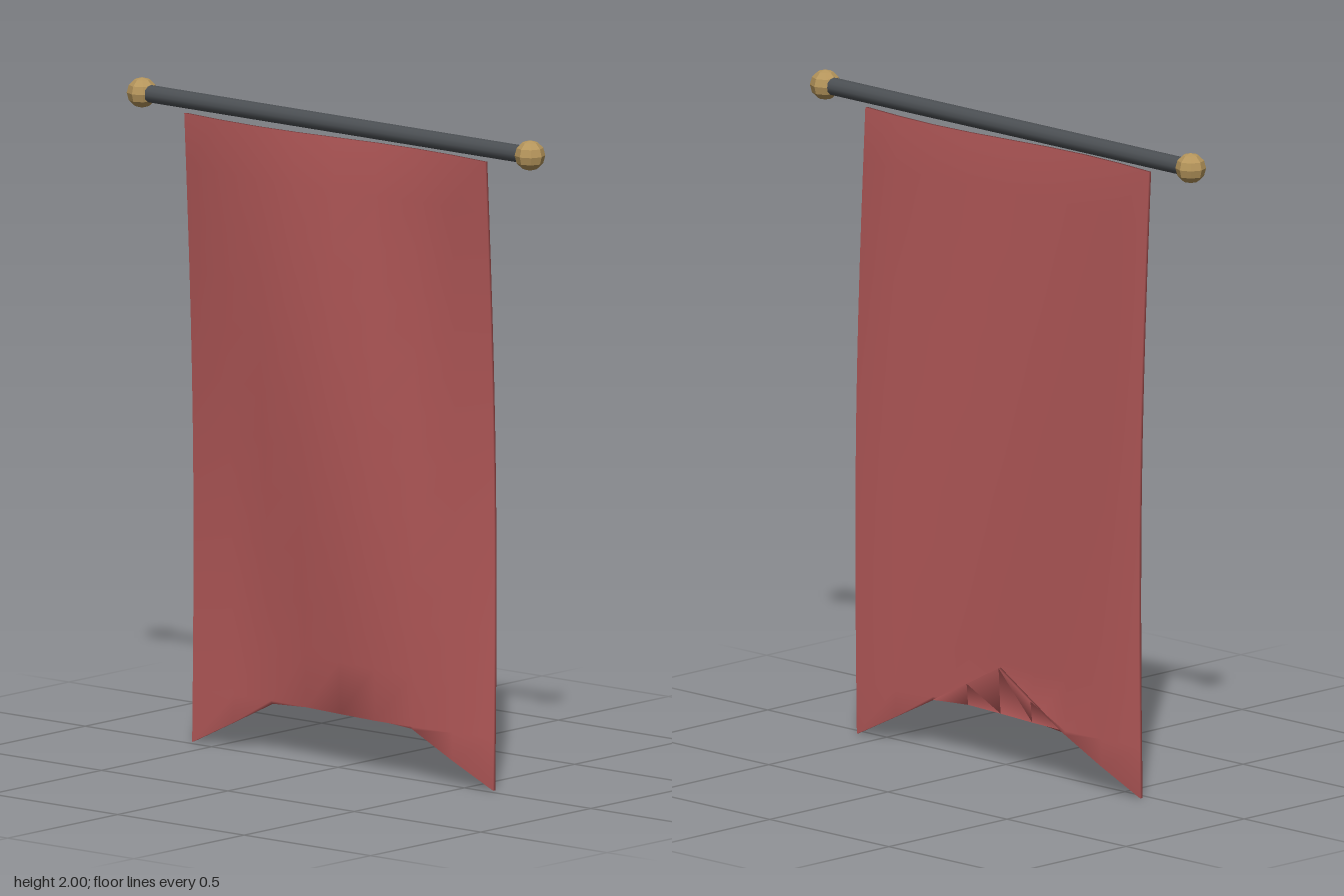
import * as THREE from 'three';
import { mergeVertices } from 'three/addons/utils/BufferGeometryUtils.js';

const WIDTH = 1.19, HEIGHT = 1.913, COLS = 8, ROWS = 12;
const ROD_Y = 1.954, ROD_Z = 0.009;

// Thin sheet with a travelling ripple; only its lowest row is lifted into a
// swallowtail, so the middle of the hem folds up behind the row above it.
function clothGeometry() {
  let geo = new THREE.BoxGeometry(WIDTH, HEIGHT, 0.01, COLS, ROWS, 1);
  geo.deleteAttribute('normal');
  geo.deleteAttribute('uv');
  geo = mergeVertices(geo);
  const p = geo.attributes.position;
  for (let i = 0; i < p.count; i++) {
    const x = p.getX(i);
    const t = 0.5 - p.getY(i) / HEIGHT; // 0 at the rod, 1 at the hem
    let y = HEIGHT * (1 - t);
    if (t > 0.999) y += 0.3 * (1 - Math.abs(x) / (WIDTH / 2));
    const ripple = 0.021 * Math.sin((2 * Math.PI * x) / WIDTH + Math.PI * (1 - t));
    p.setXYZ(i, x, y, p.getZ(i) + 0.01 - 0.036 * t + ripple);
  }
  geo.computeVertexNormals();
  return geo;
}

export function createModel() {
  const model = new THREE.Group();
  model.name = 'hangingBanner';
  const add = (name, geo, mat, x = 0, y = 0, z = 0) => {
    const mesh = new THREE.Mesh(geo, mat);
    mesh.name = name;
    mesh.position.set(x, y, z);
    model.add(mesh);
    return mesh;
  };

  const red = new THREE.MeshStandardMaterial({ color: 0xb65a5a, side: THREE.DoubleSide });
  const iron = new THREE.MeshStandardMaterial({ color: 0x4c5054 });
  const brass = new THREE.MeshStandardMaterial({ color: 0xb6965c, flatShading: true });

  // Cloth
  add('cloth', clothGeometry(), red);

  // Rod
  const rod = add('rod', new THREE.CylinderGeometry(0.027, 0.027, 1.53, 12), iron, 0, ROD_Y, ROD_Z);
  rod.rotation.z = Math.PI / 2;

  // Ball ends
  for (const side of [-1, 1]) {
    add(side > 0 ? 'leftFinial' : 'rightFinial',
      new THREE.SphereGeometry(0.046, 8, 6), brass, side * 0.767, ROD_Y, ROD_Z);
  }
  return model;
}
